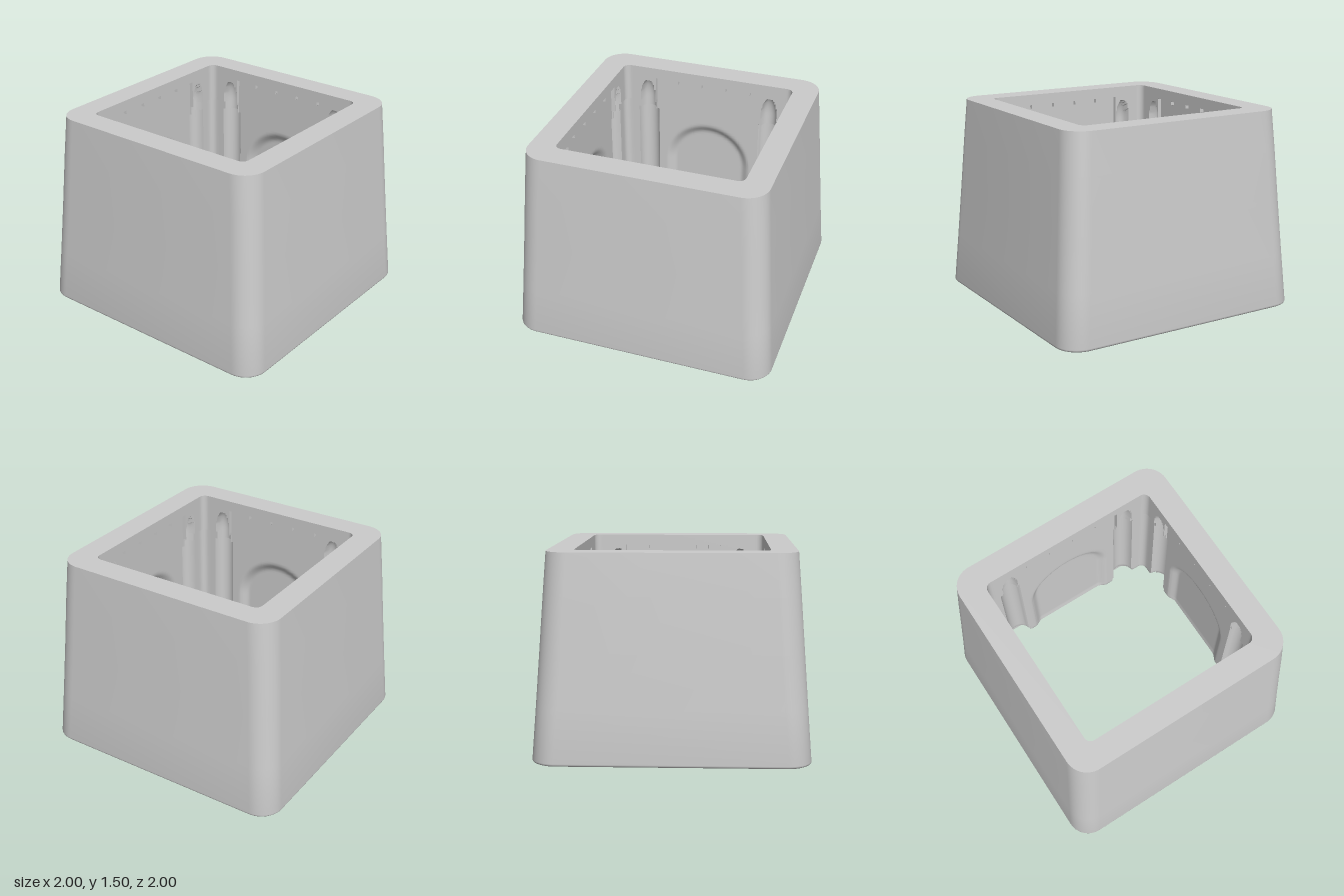
import * as THREE from 'three';
import { toCreasedNormals } from 'three/addons/utils/BufferGeometryUtils.js';

const HEIGHT = 1.505, OPENING = 0.70;
const COLUMN_S = 0.51, COLUMN_R = 0.085;
const step = (a, b, v) => THREE.MathUtils.smoothstep(v, a, b);

// Join rings of [x, z] points, one per height, into a wall
function loft(rings, ys, inward) {
  const n = rings[0].length, pos = [], idx = [];
  rings.forEach((ring, i) => ring.forEach(([x, z]) => pos.push(x, ys[i], z)));
  for (let i = 0; i < rings.length - 1; i++) {
    for (let j = 0; j < n; j++) {
      const a = i * n + j, b = i * n + (j + 1) % n, c = b + n, d = a + n;
      if (inward) idx.push(a, b, c, a, c, d);
      else idx.push(a, c, b, a, d, c);
    }
  }
  const g = new THREE.BufferGeometry();
  g.setAttribute('position', new THREE.Float32BufferAttribute(pos, 3));
  g.setIndex(idx);
  return toCreasedNormals(g, 0.6);
}

// Turn one side plus its corner into four
function fourSides(side) {
  const ring = [];
  for (let k = 0; k < 4; k++) {
    side.forEach(([x, z]) => {
      for (let i = 0; i < k; i++) [x, z] = [-z, x];
      ring.push([x, z]);
    });
  }
  return ring;
}

function cornerArc(half, r, segs) {
  return Array.from({ length: segs + 1 }, (_, i) => {
    const a = i / segs * Math.PI / 2;
    return [half - r + r * Math.cos(a), half - r + r * Math.sin(a)];
  });
}

const roundedRing = (half, r) => fourSides(cornerArc(half, r, 12));

// Plain depth of the cavity wall at a height: plinth, wall, upper lip
function wallDepth(y) {
  if (y < 0.2) return 0.82 - 0.10 * step(0.06, 0.18, y);
  return y < 1.2 ? 0.72 : OPENING;
}

// Radius of a corner column: flared foot, shaft, neck and pointed tip
function columnRadius(y) {
  if (y < 0.22) return 0.125 - (0.125 - COLUMN_R) * step(0.1, 0.22, y);
  if (y < 1.13) return COLUMN_R;
  if (y < 1.22) return 0.06;
  return 0.06 * Math.sqrt(Math.max(0, 1 - ((y - 1.22) / 0.17) ** 2));
}

// Depth of the relief pressed into each cavity wall
function reliefDepth(s, y) {
  let d = wallDepth(y);
  const a = Math.abs(s);
  // flat panel with a toothed top edge
  const tooth = Math.floor((a + 0.05) / 0.1) % 2 === 0;
  if (a < 0.44 && y < (tooth ? 1.42 : 1.39)) d = Math.max(d, 0.73);
  // softly edged arch
  const dist = y < 0.68 ? a : Math.hypot(a, y - 0.68);
  d += 0.04 * (1 - step(0.28, 0.36, dist)) * step(0.06, 0.2, y);
  // column with its square pedestal
  const off = a - COLUMN_S, r = columnRadius(y);
  if (Math.abs(off) < r) d = Math.max(d, 0.72 + Math.sqrt(r * r - off * off));
  if (y < 0.1 && Math.abs(off) < 0.13) d = 0.87;
  return d;
}

// Evenly spaced samples plus a tight pair at every sharp step
function samples(from, to, count, steps) {
  const out = Array.from({ length: count + 1 }, (_, i) => from + (to - from) * i / count);
  steps.forEach((v) => out.push(v - 0.0008, v + 0.0008));
  return out.sort((p, q) => p - q);
}

function cavityRings() {
  const half = [0.05, 0.15, 0.25, 0.35, 0.44, COLUMN_S - 0.13,
    COLUMN_S - COLUMN_R, COLUMN_S + COLUMN_R, COLUMN_S + 0.13];
  const ss = samples(-0.645, 0.645, 110, [...half, ...half.map((v) => -v)]);
  const ys = samples(0, HEIGHT, 70, [0.1, 1.13, 1.2, 1.39, 1.42]);
  const rings = ys.map((y) => fourSides([
    ...ss.map((s) => [reliefDepth(s, y), s]),
    ...cornerArc(wallDepth(y), 0.05, 5),
  ]));
  return { rings, ys };
}

// Flat rim between an outer and an inner ring
function rim(outer, inner, y, up) {
  const toPoints = (ring) => ring.map(([x, z]) => new THREE.Vector2(x, z));
  const shape = new THREE.Shape(toPoints(outer));
  shape.holes.push(new THREE.Path(toPoints(inner)));
  const g = new THREE.ShapeGeometry(shape);
  g.rotateX(up ? -Math.PI / 2 : Math.PI / 2);
  g.translate(0, y, 0);
  return g;
}

export function createModel() {
  const group = new THREE.Group();
  group.name = 'taperedMould';
  const material = new THREE.MeshStandardMaterial({ color: 0xcccccc });
  const add = (name, geometry) => {
    const mesh = new THREE.Mesh(geometry, material);
    mesh.name = name;
    group.add(mesh);
  };

  // Outer wall: [height, half width], with a small rounded foot
  const profile = [[0, 0.98], [0.002, 0.988], [0.007, 0.995], [0.014, 0.999],
    [0.022, 0.9995], [0.4, 0.971], [0.8, 0.942], [1.2, 0.913], [HEIGHT, 0.89]];
  const outer = profile.map(([, h]) => roundedRing(h, h - 0.83 > 0.1 ? 0.17 : 0.165));
  add('outerWall', loft(outer, profile.map(([y]) => y), false));

  // Open cavity with columns, panels and arches
  const { rings, ys } = cavityRings();
  add('cavityWall', loft(rings, ys, true));

  // Flat rims
  add('topRim', rim(outer[outer.length - 1], rings[rings.length - 1], HEIGHT, true));
  add('bottomRim', rim(outer[0], rings[0], 0, false));
  return group;
}
